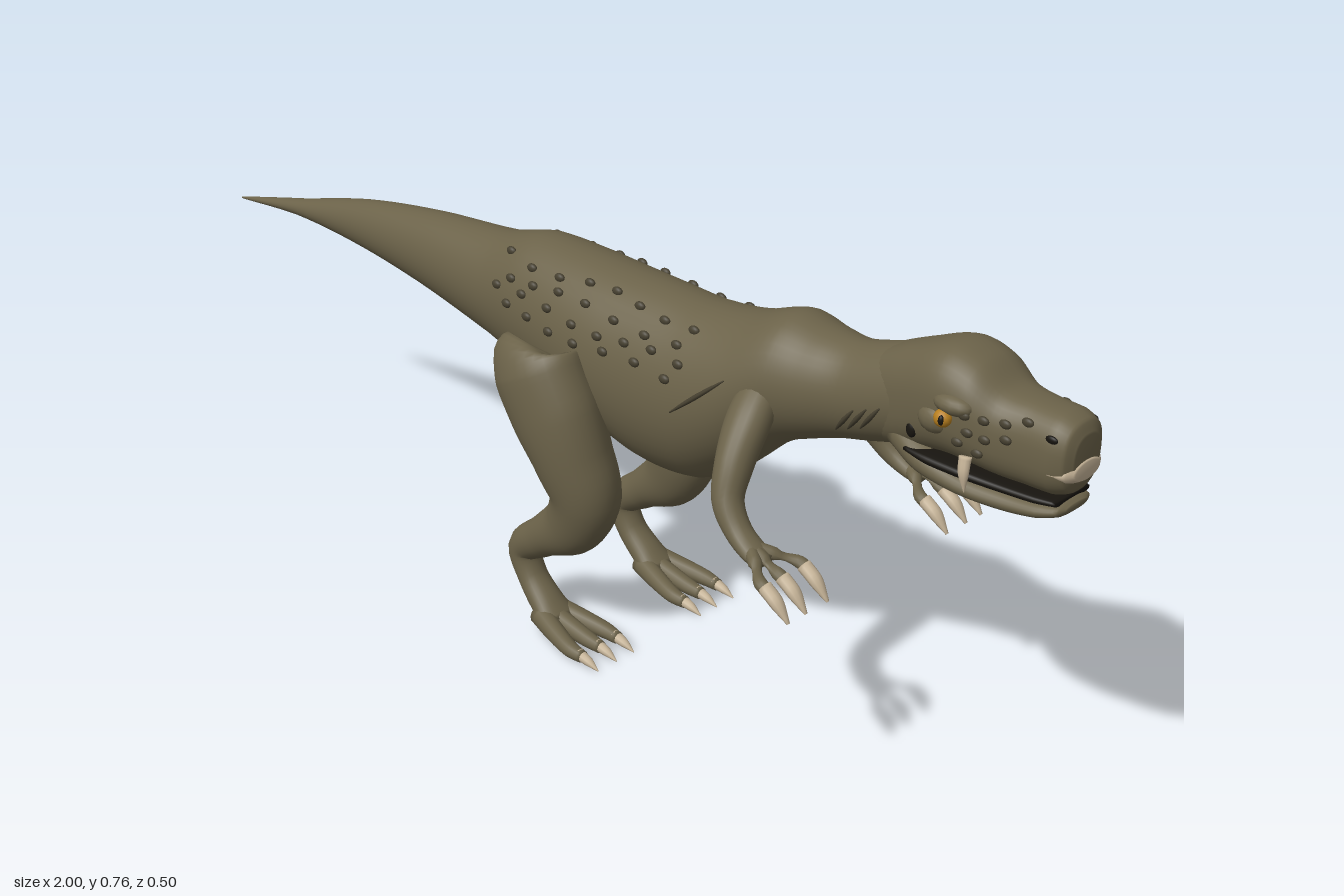
import * as THREE from 'three';

const mat = (name, color) => {
  const m = new THREE.MeshStandardMaterial({ color });
  m.name = name;
  return m;
};
const hide = mat('olive hide', 0x6b6249);
const scale = mat('dark scale', 0x464030);
const horn = mat('pale horn', 0xc6b498);
const amber = mat('amber eye', 0xb9801f);
const black = mat('mouth black', 0x17140f);

const Z = new THREE.Vector3(0, 0, 1);

// Section = [x, y, z, radius in the vertical plane, radius sideways]
function curves(sections) {
  const centre = new THREE.CatmullRomCurve3(sections.map(s => new THREE.Vector3(s[0], s[1], s[2])));
  const radii = new THREE.CatmullRomCurve3(sections.map(s => new THREE.Vector3(s[3], s[4], 0)));
  return { centre, radii };
}

// Smooth capped loft through elliptical (or boxier) sections
function loft(name, sections, material, { sides = 24, sub = 5, axis = null, power = 2 } = {}) {
  const { centre, radii } = curves(sections);
  const steps = (sections.length - 1) * sub;
  const pos = [], index = [];
  const round = v => Math.sign(v) * Math.abs(v) ** (2 / power);
  for (let i = 0; i <= steps; i++) {
    const u = i / steps;
    const c = centre.getPoint(u), r = radii.getPoint(u);
    const t = axis || centre.getTangent(u);
    const s = Z.clone().addScaledVector(t, -Z.dot(t)).normalize();
    const n = new THREE.Vector3().crossVectors(s, t);
    for (let j = 0; j < sides; j++) {
      const a = j / sides * Math.PI * 2;
      const p = c.clone()
        .addScaledVector(s, Math.max(r.y, 0.0005) * round(Math.cos(a)))
        .addScaledVector(n, Math.max(r.x, 0.0005) * round(Math.sin(a)));
      pos.push(p.x, p.y, p.z);
      if (i < steps) {
        const k = i * sides, j2 = (j + 1) % sides;
        index.push(k + j, k + sides + j, k + j2, k + j2, k + sides + j, k + sides + j2);
      }
    }
  }
  // End caps
  const first = pos.length / 3, last = steps * sides;
  for (const u of [0, 1]) pos.push(...centre.getPoint(u).toArray());
  for (let j = 0; j < sides; j++) {
    const j2 = (j + 1) % sides;
    index.push(first, j, j2, first + 1, last + j2, last + j);
  }
  const g = new THREE.BufferGeometry();
  g.setAttribute('position', new THREE.Float32BufferAttribute(pos, 3));
  g.setIndex(index);
  g.computeVertexNormals();
  const m = new THREE.Mesh(g, material);
  m.name = name;
  return m;
}

function ball(name, p, size, material) {
  const m = new THREE.Mesh(new THREE.SphereGeometry(1, 14, 10), material);
  m.position.set(...p);
  m.scale.set(...size);
  m.name = name;
  return m;
}

const trunk = [
  [-1, .492, 0, .002, .002], [-.8, .527, 0, .017, .02], [-.6, .551, 0, .046, .04],
  [-.4, .557, 0, .073, .06], [-.2, .55, 0, .1, .083], [-.1, .55, 0, .126, .1],
  [0, .538, 0, .138, .112], [.1, .522, 0, .15, .12], [.2, .51, 0, .16, .12],
  [.3, .515, 0, .155, .12], [.38, .545, 0, .137, .115], [.47, .6, 0, .112, .1],
  [.53, .61, 0, .093, .085], [.6, .622, 0, .081, .068], [.7, .652, 0, .082, .066],
  [.78, .67, 0, .07, .06],
];
const skull = [
  [.62, .63, 0, .07, .05], [.7, .655, 0, .084, .066], [.78, .68, 0, .087, .08],
  [.83, .675, 0, .081, .078], [.875, .658, 0, .068, .066], [.92, .655, 0, .066, .056],
  [.965, .655, 0, .064, .055], [.988, .655, 0, .055, .047], [.997, .655, 0, .036, .03],
];

// Half width of a lofted form at a given x and y
function surface(sections, power = 2) {
  const { centre, radii } = curves(sections);
  return (x, y) => {
    let a = 0, b = 1;
    for (let i = 0; i < 24; i++) {
      const m = (a + b) / 2;
      if (centre.getPoint(m).x < x) a = m; else b = m;
    }
    const c = centre.getPoint(a), r = radii.getPoint(a);
    const h = Math.min(Math.abs(y - c.y) / r.x, 0.98);
    return r.y * (1 - h ** power) ** (1 / power);
  };
}

export function createModel() {
  const model = new THREE.Group();
  model.name = 'dinosaur';
  const X = new THREE.Vector3(1, 0, 0);
  const trunkZ = surface(trunk), skullZ = surface(skull, 2.5);

  // Body with tail and neck, then head and jaw
  model.add(loft('body', trunk, hide, { axis: X, sides: 40, sub: 6 }));
  model.add(loft('skull', skull, hide, { axis: X, sides: 40, sub: 6, power: 2.5 }));
  model.add(loft('lowerJaw', [
    [.69, .605, 0, .035, .055], [.76, .583, 0, .03, .076], [.83, .57, 0, .023, .075],
    [.9, .566, 0, .02, .063], [.955, .57, 0, .016, .054], [.982, .575, 0, .011, .042],
    [.99, .577, 0, .005, .024],
  ], hide, { axis: X, sides: 32, power: 2.3 }));
  model.add(loft('mouth', [
    [.735, .598, 0, .004, .073], [.78, .595, 0, .009, .077], [.83, .593, 0, .009, .074],
    [.89, .589, 0, .008, .062], [.95, .588, 0, .007, .052], [.98, .588, 0, .005, .042],
  ], black, { axis: X, power: 4 }));
  model.add(loft('snoutPlate', [
    [.968, .637, 0, .012, .054], [.99, .637, 0, .019, .046], [1, .637, 0, .014, .03],
  ], horn, { axis: X }));

  for (const side of [1, -1]) {
    const part = new THREE.Group();
    part.name = side > 0 ? 'leftSide' : 'rightSide';
    model.add(part);
    const limb = (name, pts, material, opt) =>
      part.add(loft(name, pts.map(p => [p[0], p[1], p[2] * side, p[3], p[4]]), material, opt));
    const spot = (name, p, size, material) =>
      part.add(ball(name, [p[0], p[1], p[2] * side], size, material));

    // Hind leg
    limb('hindLeg', [
      [.015, .537, .13, .05, .035], [.015, .53, .135, .082, .06], [.03, .5, .138, .09, .07],
      [.065, .44, .137, .088, .07], [.1, .37, .132, .074, .066], [.122, .3, .124, .066, .059],
      [.095, .235, .123, .057, .048], [.025, .18, .125, .038, .036], [-.03, .133, .124, .031, .029],
      [-.012, .085, .124, .025, .028], [.03, .045, .126, .024, .033], [.065, .022, .127, .018, .04],
    ], hide, { sides: 28 });
    for (const z of [-.042, 0, .044]) {
      const zt = .127 + z;
      limb('toe', [
        [.03, .03, .127 + z * .4, .022, .02], [.085, .022, .127 + z * .75, .018, .018],
        [.135, .016, zt, .014, .015], [.165, .014, zt, .011, .011],
      ], hide, { sides: 14 });
      limb('toeClaw', [
        [.155, .016, zt, .011, .011], [.18, .011, zt, .008, .008], [.203, .003, zt, .001, .001],
      ], horn, { sides: 10 });
    }

    // Arm
    limb('arm', [
      [.455, .6, .06, .035, .03], [.465, .56, .105, .038, .034], [.478, .505, .15, .031, .032],
      [.492, .455, .178, .025, .026], [.525, .418, .188, .02, .023], [.565, .398, .193, .015, .024],
      [.585, .392, .194, .01, .02],
    ], hide, { sides: 20 });
    for (const z of [.147, .197, .237]) {
      limb('finger', [
        [.55, .405, .192, .012, .012], [.585, .397, (.195 + z) / 2, .01, .011],
        [.615, .385, z, .01, .011], [.632, .378, z, .01, .011],
      ], hide, { sides: 12 });
      limb('fingerClaw', [
        [.622, .383, z, .012, .012], [.645, .368, z, .011, .012], [.672, .34, z, .002, .003],
      ], horn, { sides: 10 });
    }

    // Eye, brow and cheek bumps
    spot('brow', [.815, .698, .068], [.034, .016, .022], hide);
    spot('cheek', [.785, .665, .066], [.03, .024, .022], hide);
    spot('eye', [.808, .678, .083], [.014, .014, .013], amber);
    spot('pupil', [.812, .679, .092], [.005, .008, .005], black);
    spot('earHole', [.745, .632, .069], [.009, .013, .006], black);
    spot('nostril', [.968, .69, skullZ(.968, .69)], [.01, .006, .004], black);
    for (const [x, y] of [[.838, .69], [.845, .665], [.865, .688], [.87, .66], [.895, .69],
      [.9, .668], [.925, .7], [.83, .645], [.86, .635]])
      spot('faceScale', [x, y, skullZ(x, y)], [.01, .007, .005], scale);

    // Fang
    limb('fang', [
      [.843, .625, .07, .01, .009], [.846, .602, .076, .009, .007], [.85, .572, .076, .001, .001],
    ], horn, { sides: 10 });

    // Flank scales in staggered rows
    [.648, .622, .595, .568].forEach((y, row) => {
      for (let i = 0; i < 8; i++) {
        const x = -.13 + i * .064 + (row % 2) * .03 + Math.sin(i * 7 + row * 3) * .009;
        const h = y + Math.sin(i * 5 + row * 11) * .006;
        if (x < .35) spot('flankScale', [x, h, trunkZ(x, h)], [.011, .008, .006], scale);
      }
    });

    // Skin folds on the neck and behind the arm
    const fold = (x1, y1, x2, y2) => limb('skinFold', [0, .25, .5, .75, 1].map(t => {
      const x = x1 + (x2 - x1) * t, y = y1 + (y2 - y1) * t;
      const r = .0012 + .003 * Math.sin(Math.PI * t);
      return [x, y, trunkZ(x, y), r, r];
    }), scale, { sides: 8 });
    fold(.31, .52, .41, .605);
    for (let i = 0; i < 3; i++) fold(.595 + i * .024, .572 + i * .01, .635 + i * .024, .622 + i * .01);
  }
  return model;
}
